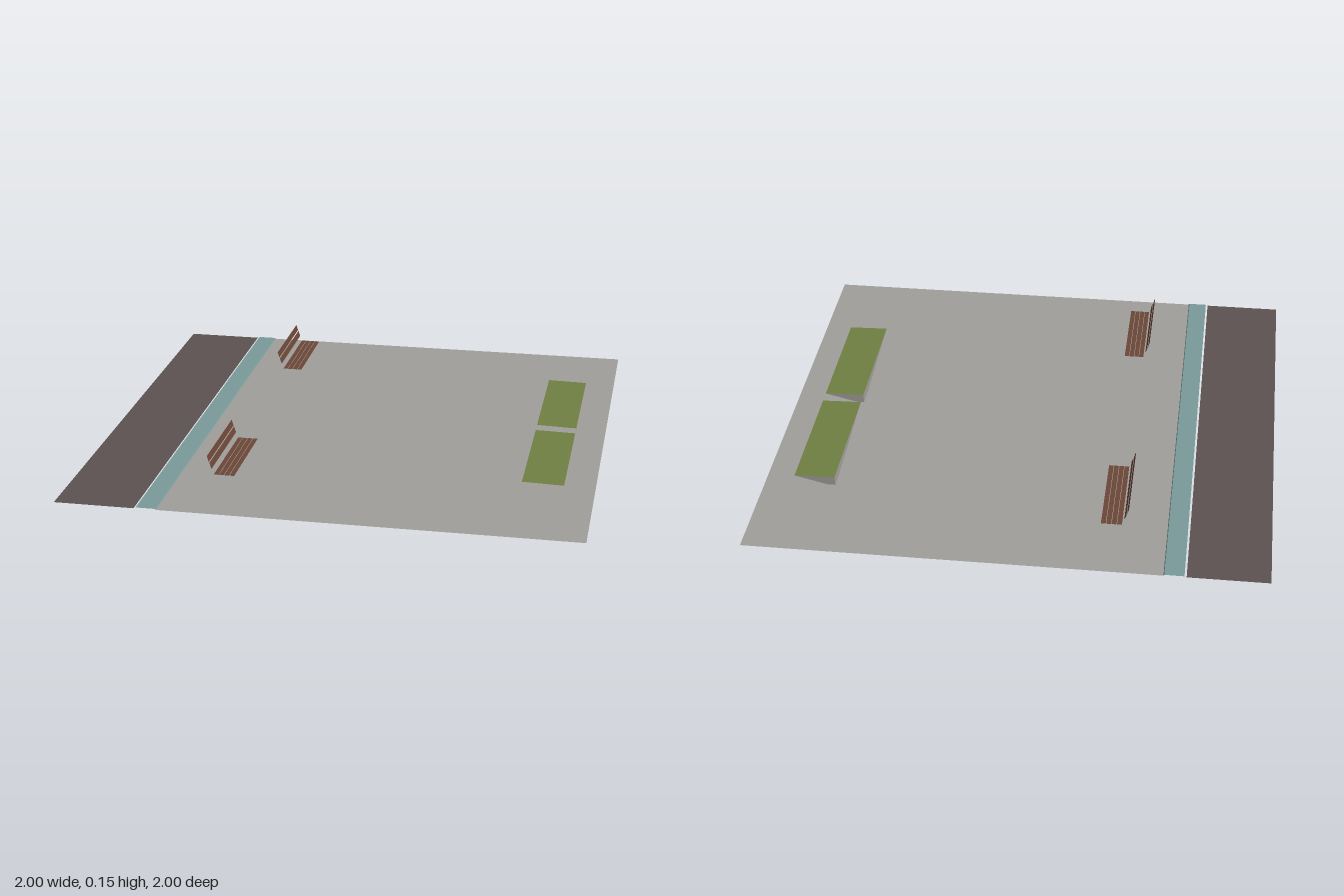
import * as THREE from 'three';

const mat = (name, color) => new THREE.MeshStandardMaterial({ name, color, side: THREE.DoubleSide, flatShading: true });

export function createModel() {
  const model = new THREE.Group();
  model.name = 'streetCorner';
  const paving = mat('paving grey', 0xa19e9b);
  const asphalt = mat('asphalt', 0x5b5251);
  const laneTeal = mat('lane teal', 0x7b9a9a);
  const grass = mat('grass green', 0x6f8041);
  const wood = mat('bench wood', 0x6b4637);

  // Thin sheet through three or four corners, as a triangle fan
  function sheet(name, material, corners, parent = model) {
    const geo = new THREE.BufferGeometry();
    geo.setAttribute('position', new THREE.Float32BufferAttribute(corners.flat(), 3));
    geo.setIndex(corners.length === 4 ? [0, 1, 2, 0, 2, 3] : [0, 1, 2]);
    geo.computeVertexNormals();
    const mesh = new THREE.Mesh(geo, material);
    mesh.name = name;
    parent.add(mesh);
  }

  // Strip running along z between two edge points in x and y
  const strip = (name, material, [xa, ya], [xb, yb], z0, z1, parent) =>
    sheet(name, material, [[xa, ya, z0], [xa, ya, z1], [xb, yb, z1], [xb, yb, z0]], parent);

  // Ground: road, raised lane with its kerb, paving
  strip('road', asphalt, [-1, 0.008], [-0.688, 0.008], -1, 1);
  strip('lane', laneTeal, [-0.68, 0.012], [-0.605, 0.012], -1, 1);
  strip('kerb', laneTeal, [-0.605, 0.012], [-0.602, 0.008], -1, 1);
  strip('pavement', paving, [-0.602, 0.008], [1, 0.008], -1, 1);

  // Benches: four seat slats and two leaning back slats
  for (const z of [-0.607, 0.6]) {
    const bench = new THREE.Group();
    bench.name = 'bench';
    bench.position.z = z;
    for (let i = 0; i < 4; i++) {
      const x = -0.431 + i * 0.0205;
      strip('seatSlat', wood, [x, 0.078], [x + 0.0185, 0.078], -0.192, 0.192, bench);
    }
    strip('backSlat', wood, [-0.456, 0.152], [-0.449, 0.128], -0.192, 0.192, bench);
    strip('backSlat', wood, [-0.447, 0.124], [-0.439, 0.1], -0.192, 0.192, bench);
    model.add(bench);
  }

  // Planters: grass top over a wedge whose lowest point is one corner
  for (const z of [-0.575, 0.025]) {
    const planter = new THREE.Group();
    planter.name = 'planter';
    planter.position.z = z;
    const a = [0.722, 0.043, 0], b = [0.722, 0.044, 0.545];
    const c = [0.883, 0.04, 0.545], d = [0.883, 0.04, 0];
    const low = [0.72, 0, 0];
    sheet('grassTop', grass, [a, b, c, d], planter);
    sheet('planterSide', paving, [a, low, b], planter);
    sheet('planterEnd', paving, [a, d, low], planter);
    sheet('planterUnderside', paving, [low, d, c, b], planter);
    model.add(planter);
  }
  return model;
}
